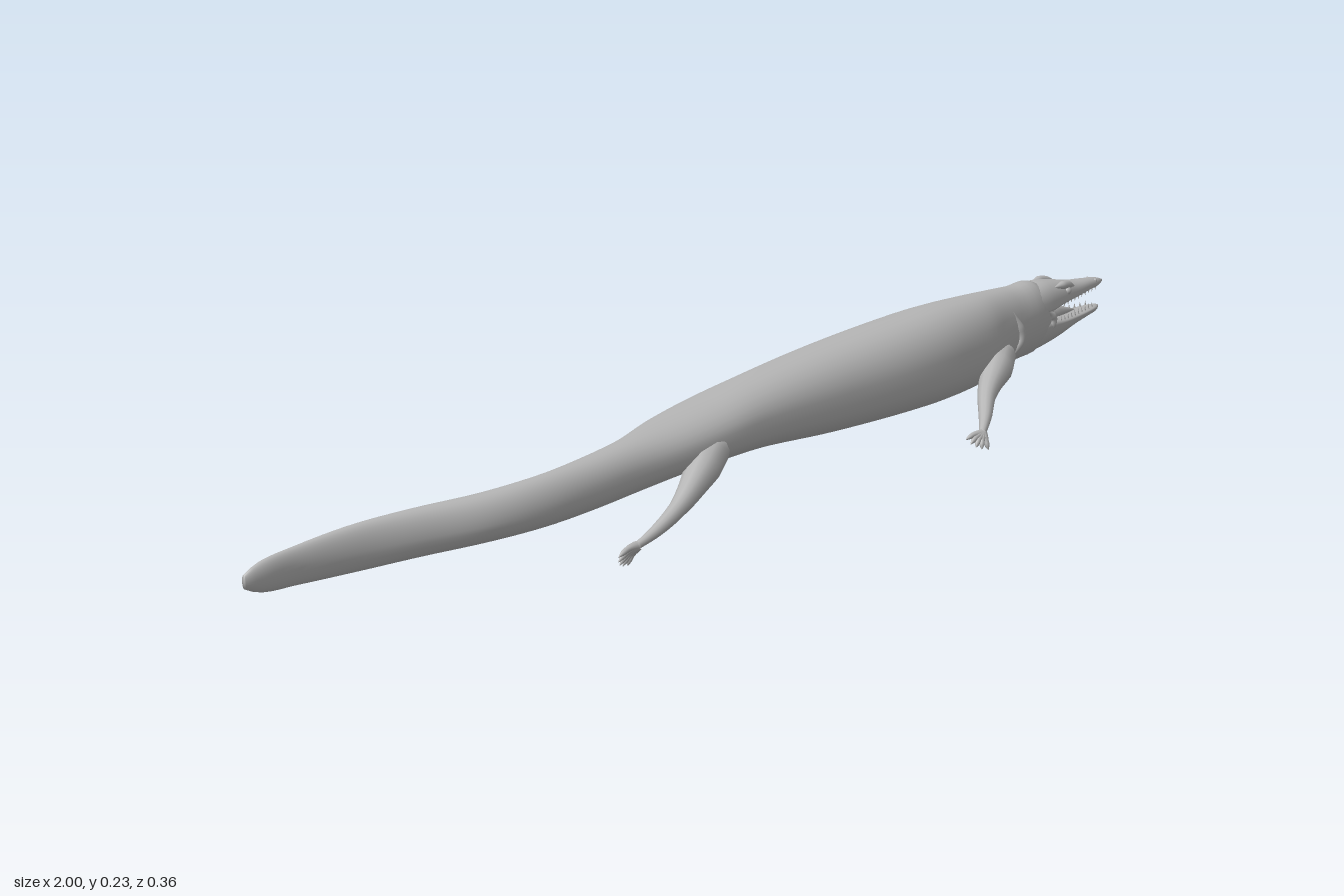
import * as THREE from 'three';
import { mergeVertices } from 'three/addons/utils/BufferGeometryUtils.js';

const skin = new THREE.MeshStandardMaterial({ color: 0xb4b4b4 });
skin.name = 'grey skin';

const V = (p) => new THREE.Vector3(...p);

function add(parent, name, geometry) {
  const mesh = new THREE.Mesh(geometry, skin);
  mesh.name = name;
  parent.add(mesh);
  return mesh;
}

// Loft along x. Rows: [x, top, bottom, zMin, zMax, height fraction of the widest line, roundness]
function loft(rows, steps, sides = 28) {
  const spline = new THREE.CubicInterpolant(
    rows.map((r) => r[0]), rows.flatMap((r) => r.slice(1)), 6);
  const x0 = rows[0][0], x1 = rows[rows.length - 1][0];
  const pos = [], index = [];
  for (let i = 0; i <= steps; i++) {
    const x = x0 + (x1 - x0) * i / steps;
    const [top, bottom, zMin, zMax, frac, power] = spline.evaluate(x);
    const mid = bottom + (top - bottom) * frac;
    for (let j = 0; j < sides; j++) {
      const a = j / sides * Math.PI * 2, c = Math.cos(a), s = Math.sin(a);
      const round = (t) => Math.sign(t) * Math.abs(t) ** power;
      const h = s > 0 ? top - mid : mid - bottom;
      pos.push(x, mid + round(s) * h, (zMin + zMax) / 2 + round(c) * (zMax - zMin) / 2);
      if (i === steps) continue;
      const k = (j + 1) % sides, a0 = i * sides, b0 = a0 + sides;
      index.push(a0 + j, b0 + j, b0 + k, a0 + j, b0 + k, a0 + k);
    }
  }
  // End caps
  for (const [base, x, r, flip] of [[0, x0, rows[0], 0], [steps * sides, x1, rows[rows.length - 1], 1]]) {
    const centre = pos.length / 3;
    pos.push(x, (r[1] + r[2]) / 2, (r[3] + r[4]) / 2);
    for (let j = 0; j < sides; j++) {
      const a = base + j, b = base + (j + 1) % sides;
      index.push(centre, flip ? b : a, flip ? a : b);
    }
  }
  const g = new THREE.BufferGeometry();
  g.setAttribute('position', new THREE.Float32BufferAttribute(pos, 3));
  g.setIndex(index);
  g.computeVertexNormals();
  return g;
}

// Tube through points with a radius that varies along its length
function limb(points, radii, steps = 20, sides = 12) {
  const curve = new THREE.CatmullRomCurve3(points.map(V));
  const g = new THREE.TubeGeometry(curve, steps, 1, sides);
  const p = g.attributes.position, v = new THREE.Vector3();
  for (let i = 0; i <= steps; i++) {
    const t = i / steps * (radii.length - 1), k = Math.min(Math.floor(t), radii.length - 2);
    const r = THREE.MathUtils.lerp(radii[k], radii[k + 1], t - k);
    const c = curve.getPointAt(i / steps);
    for (let j = 0; j <= sides; j++) {
      const n = i * (sides + 1) + j;
      v.fromBufferAttribute(p, n).sub(c).multiplyScalar(r).add(c);
      p.setXYZ(n, v.x, v.y, v.z);
    }
  }
  g.deleteAttribute('uv');
  g.deleteAttribute('normal');
  const merged = mergeVertices(g, 1e-5);
  merged.computeVertexNormals();
  return merged;
}

// Leg with a palm and five spread toes
function leg(parent, name, path, radii, toeTips) {
  const group = new THREE.Group();
  group.name = name;
  parent.add(group);
  add(group, 'leg', limb(path, radii));
  const wrist = V(path[path.length - 1]);
  const first = V(toeTips[0]), last = V(toeTips[1]);
  const bow = wrist.clone().sub(first.clone().add(last).multiplyScalar(0.5)).multiplyScalar(-0.25);
  for (let i = 0; i < 5; i++) {
    const t = i / 4;
    const tip = first.clone().lerp(last, t).addScaledVector(bow, Math.sin(t * Math.PI));
    const knuckle = wrist.clone().lerp(tip, 0.5);
    knuckle.y += 0.004;
    add(group, 'toe', limb([wrist.toArray(), knuckle.toArray(), tip.toArray()],
      [0.009, 0.007, 0.005, 0.0045, 0.0005], 10, 8));
  }
}

export function createModel() {
  const model = new THREE.Group();
  model.name = 'reptile';

  // Tail, trunk and neck in one smooth skin
  add(model, 'body', loft([
    [-1, 0.108, 0.085, -0.09, -0.08, 0.5, 1],
    [-0.975, 0.118, 0.073, -0.097, -0.076, 0.5, 1],
    [-0.9, 0.127, 0.065, -0.099, -0.072, 0.5, 1],
    [-0.8, 0.14, 0.064, -0.085, -0.048, 0.48, 1],
    [-0.7, 0.148, 0.069, -0.062, -0.01, 0.46, 1],
    [-0.6, 0.155, 0.075, -0.03, 0.033, 0.45, 1],
    [-0.5, 0.164, 0.08, -0.006, 0.058, 0.45, 1],
    [-0.4, 0.17, 0.085, -0.007, 0.068, 0.45, 0.95],
    [-0.3, 0.176, 0.089, -0.022, 0.071, 0.45, 0.95],
    [-0.2, 0.182, 0.092, -0.055, 0.075, 0.45, 0.92],
    [-0.1, 0.19, 0.09, -0.073, 0.073, 0.45, 0.9],
    [0, 0.2, 0.085, -0.08, 0.067, 0.43, 0.9],
    [0.2, 0.215, 0.067, -0.094, 0.07, 0.42, 0.9],
    [0.4, 0.228, 0.06, -0.09, 0.079, 0.42, 0.9],
    [0.5, 0.232, 0.06, -0.08, 0.077, 0.42, 0.9],
    [0.6, 0.23, 0.066, -0.064, 0.067, 0.43, 0.92],
    [0.66, 0.227, 0.078, -0.052, 0.053, 0.45, 0.95],
    [0.72, 0.223, 0.083, -0.045, 0.045, 0.48, 0.95],
    [0.79, 0.218, 0.093, -0.04, 0.041, 0.5, 0.95],
    [0.82, 0.185, 0.12, -0.028, 0.029, 0.5, 1],
  ], 110));

  // Jaws, held open
  add(model, 'upperJaw', loft([
    [0.75, 0.215, 0.16, -0.038, 0.039, 0.2, 0.85],
    [0.8, 0.219, 0.16, -0.039, 0.041, 0.2, 0.85],
    [0.85, 0.211, 0.168, -0.034, 0.036, 0.2, 0.82],
    [0.9, 0.2, 0.17, -0.025, 0.027, 0.25, 0.82],
    [0.95, 0.194, 0.173, -0.017, 0.018, 0.3, 0.85],
    [0.985, 0.189, 0.174, -0.01, 0.011, 0.4, 0.95],
    [1, 0.184, 0.178, -0.004, 0.005, 0.5, 1],
  ], 40));
  add(model, 'lowerJaw', loft([
    [0.74, 0.155, 0.087, -0.037, 0.038, 0.7, 0.9],
    [0.8, 0.152, 0.094, -0.037, 0.039, 0.75, 0.9],
    [0.85, 0.143, 0.104, -0.032, 0.034, 0.78, 0.85],
    [0.9, 0.139, 0.115, -0.024, 0.026, 0.75, 0.85],
    [0.95, 0.138, 0.122, -0.016, 0.018, 0.7, 0.9],
    [0.98, 0.138, 0.126, -0.009, 0.011, 0.6, 0.95],
    [0.99, 0.136, 0.131, -0.004, 0.005, 0.5, 1],
  ], 36));
  add(model, 'tongue', limb([[0.79, 0.15, 0], [0.86, 0.146, 0], [0.92, 0.14, 0]],
    [0.02, 0.015, 0.001]));

  for (const side of [-1, 1]) {
    // Teeth along both jaws
    for (let i = 0; i < 10; i++) {
      const x = 0.85 + i * 0.0138, z = 0.001 + side * (0.029 - i * 0.0024);
      const upper = add(model, 'upperTooth', new THREE.ConeGeometry(0.003, 0.013, 6));
      upper.position.set(x, 0.1705 + i * 0.0004, z);
      upper.rotation.x = Math.PI;
      const lower = add(model, 'lowerTooth', new THREE.ConeGeometry(0.003, 0.012, 6));
      lower.position.set(x - 0.01, 0.143 - i * 0.0003, z);
    }
    // Eyes under heavy brows, nostrils, cheek folds
    const eye = add(model, 'eye', new THREE.SphereGeometry(0.008, 16, 12));
    eye.position.set(0.858, 0.193, 0.001 + side * 0.028);
    add(model, 'brow', limb([[0.82, 0.206, side * 0.028], [0.855, 0.205, side * 0.027],
      [0.89, 0.195, side * 0.021]], [0.001, 0.008, 0.007, 0.001]));
    const nostril = add(model, 'nostril', new THREE.SphereGeometry(0.004, 10, 8));
    nostril.position.set(0.972, 0.187, side * 0.009);
    add(model, 'cheekFold', limb([[0.79, 0.17, side * 0.037], [0.81, 0.15, side * 0.034],
      [0.8, 0.12, side * 0.031]], [0.002, 0.008, 0.008, 0.002]));
    add(model, 'neckFold', limb([[0.68, 0.19, side * 0.042], [0.7, 0.14, side * 0.046],
      [0.68, 0.1, side * 0.036]], [0.001, 0.008, 0.008, 0.001]));
  }

  // Legs trail backwards, each in its own swimming pose
  leg(model, 'frontLeftLeg',
    [[0.65, 0.115, 0.035], [0.59, 0.1, 0.07], [0.53, 0.08, 0.102], [0.48, 0.055, 0.138], [0.445, 0.04, 0.16]],
    [0.03, 0.032, 0.022, 0.016, 0.012, 0.006], [[0.405, 0.037, 0.155], [0.44, 0.015, 0.178]]);
  leg(model, 'frontRightLeg',
    [[0.65, 0.12, -0.035], [0.6, 0.122, -0.08], [0.54, 0.118, -0.125], [0.48, 0.112, -0.153], [0.44, 0.113, -0.168]],
    [0.03, 0.032, 0.022, 0.016, 0.012, 0.006], [[0.41, 0.135, -0.17], [0.42, 0.093, -0.177]]);
  leg(model, 'hindLeftLeg',
    [[-0.13, 0.125, 0.05], [-0.2, 0.1, 0.082], [-0.27, 0.072, 0.106], [-0.33, 0.05, 0.114], [-0.375, 0.036, 0.114]],
    [0.03, 0.03, 0.022, 0.015, 0.011, 0.006], [[-0.42, 0.03, 0.118], [-0.39, 0.006, 0.108]]);
  leg(model, 'hindRightLeg',
    [[-0.13, 0.13, -0.045], [-0.2, 0.115, -0.058], [-0.27, 0.095, -0.071], [-0.33, 0.08, -0.076], [-0.365, 0.074, -0.077]],
    [0.03, 0.028, 0.02, 0.014, 0.011, 0.006], [[-0.405, 0.08, -0.085], [-0.39, 0.056, -0.075]]);

  return model;
}
